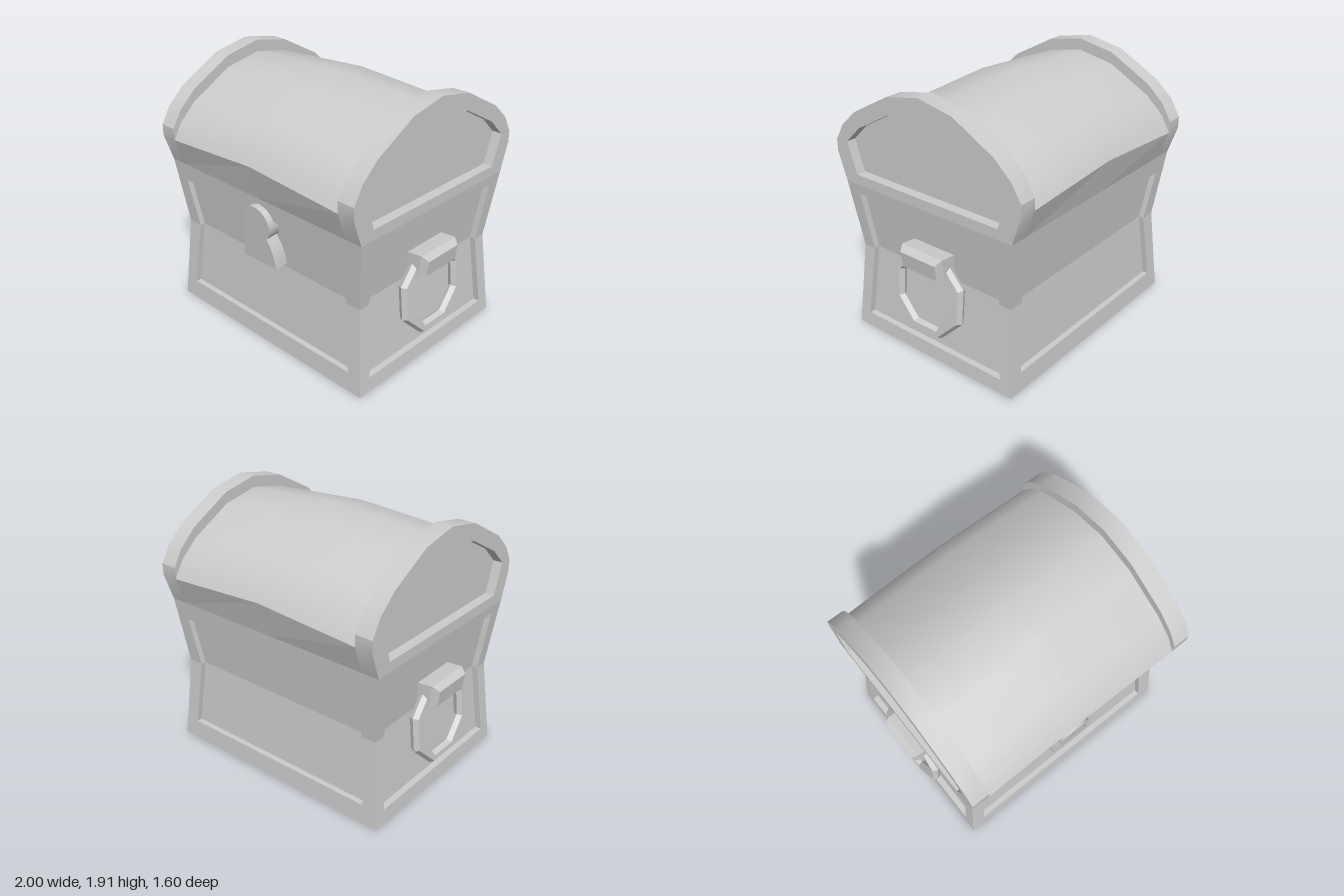
import * as THREE from 'three';
import { toCreasedNormals } from 'three/addons/utils/BufferGeometryUtils.js';
import { ConvexGeometry } from 'three/addons/geometries/ConvexGeometry.js';

const flat = new THREE.MeshStandardMaterial({ color: 0xcccccc, flatShading: true });
const smooth = new THREE.MeshStandardMaterial({ color: 0xcccccc });

// Outline of one lid end: half profile [z, y] from hinge line to ridge
const LID = [[0.73, 1.15], [0.8, 1.355], [0.8, 1.44], [0.73, 1.56], [0.6, 1.68], [0.28, 1.855], [0, 1.91]];
const LID_PANEL = [[0.62, 1.225], [0.665, 1.355], [0.695, 1.45], [0.565, 1.575], [0.275, 1.735], [0, 1.79]];

// Half widths of the pinched body at three heights
const LEVELS = [0, 0.64, 1.15];
const HALF_X = [0.92, 0.86, 0.92];
const HALF_Z = [0.72, 0.67, 0.73];

// Complete a half outline by mirroring it across the centre line
function mirrored(half) {
  const other = half.filter(p => p[0] !== 0).map(([u, y]) => [-u, y]).reverse();
  return [...half, ...other];
}

function toShape(points) {
  return new THREE.Shape(points.map(([u, y]) => new THREE.Vector2(u, y)));
}

function named(name, geometry, material = flat) {
  const mesh = new THREE.Mesh(geometry, material);
  mesh.name = name;
  return mesh;
}

// Surface through rows of points
function gridGeometry(rows) {
  const n = rows[0].length, index = [];
  for (let r = 0; r < rows.length - 1; r++) {
    for (let c = 0; c < n - 1; c++) {
      const a = r * n + c, b = a + n;
      index.push(a, b, b + 1, a, b + 1, a + 1);
    }
  }
  const g = new THREE.BufferGeometry();
  g.setAttribute('position', new THREE.Float32BufferAttribute(rows.flat(2), 3));
  g.setIndex(index);
  g.computeVertexNormals();
  return g;
}

// Bent wall facing +z, with a recessed panel
function wallGeometry(widths, depths, panelHalf, recess) {
  const depthAt = y => {
    const k = y <= LEVELS[1] ? 0 : 1;
    return THREE.MathUtils.mapLinear(y, LEVELS[k], LEVELS[k + 1], depths[k], depths[k + 1]);
  };
  const place = (points, inset) => points.map(([u, y]) => [u, y, depthAt(y) - inset]);
  const outer = place(mirrored(LEVELS.map((y, i) => [widths[i], y])), 0);
  const inner = place(mirrored(panelHalf), 0);
  const floor = place(mirrored(panelHalf), recess);
  const pos = [];
  const quad = (a, b, c, d) => pos.push(...a, ...b, ...c, ...a, ...c, ...d);
  for (let i = 0; i < 6; i++) {
    const j = (i + 1) % 6;
    quad(outer[i], outer[j], inner[j], inner[i]);
    quad(inner[i], inner[j], floor[j], floor[i]);
  }
  for (let i = 0; i < 2; i++) quad(floor[i], floor[i + 1], floor[4 - i], floor[5 - i]);
  const g = new THREE.BufferGeometry();
  g.setAttribute('position', new THREE.Float32BufferAttribute(pos, 3));
  g.computeVertexNormals();
  return g;
}

function createBody() {
  const body = new THREE.Group();
  body.name = 'body';
  const long = wallGeometry(HALF_X, HALF_Z, [[0.8, 0.14], [0.745, 0.64], [0.8, 1.01]], 0.04);
  const short = wallGeometry(HALF_Z, HALF_X, [[0.62, 0.105], [0.575, 0.64], [0.62, 1.08]], 0.045);
  ['frontWall', 'leftWall', 'backWall', 'rightWall'].forEach((name, i) => {
    const wall = named(name, i % 2 ? short : long);
    wall.rotation.y = i * Math.PI / 2;
    body.add(wall);
  });
  const base = named('base', new THREE.PlaneGeometry(1.84, 1.44));
  base.rotation.x = Math.PI / 2;
  body.add(base);
  return body;
}

function createLid() {
  const lid = new THREE.Group();
  lid.name = 'lid';

  // Raised end frames with a sunken panel
  const frameShape = toShape(mirrored(LID));
  frameShape.holes.push(toShape(mirrored(LID_PANEL)));
  const frame = toCreasedNormals(
    new THREE.ExtrudeGeometry(frameShape, { depth: 0.13, bevelEnabled: false }), 0.45);
  const panel = new THREE.ExtrudeGeometry(toShape(mirrored(LID_PANEL)), { depth: 0.06, bevelEnabled: false });
  for (const side of [1, -1]) {
    const end = new THREE.Group();
    end.name = side > 0 ? 'leftLidEnd' : 'rightLidEnd';
    end.add(named('lidEndFrame', frame, smooth), named('lidEndPanel', panel));
    end.rotation.y = side * Math.PI / 2;
    end.position.x = side * 0.79;
    lid.add(end);
  }

  // Barrel top: lower than the ends, swelling towards the middle
  const stations = [[-0.79, 0], [0, 0.05], [0.79, 0]];
  const arch = mirrored(LID.slice(2));
  lid.add(named('lidBarrel', gridGeometry(
    stations.map(([x, lift]) => arch.map(([z, y]) => [x, y - 0.085 + lift, z]))), smooth));

  // Sloping bands under the barrel
  const band = gridGeometry(stations.map(([x, lift]) => [[x, 1.15, 0.73], [x, 1.355 + lift, 0.8]]));
  const frontBand = named('frontBand', band);
  const backBand = named('backBand', band);
  backBand.rotation.y = Math.PI;
  lid.add(frontBand, backBand);
  return lid;
}

// Keyhole-shaped lock plate, leaning with the front wall
function createLockPlate() {
  const s = new THREE.Shape();
  s.moveTo(-0.16, -0.215);
  s.lineTo(0.16, -0.215);
  s.lineTo(0.153, -0.15);
  s.lineTo(0.13, -0.07);
  s.lineTo(0.09, 0.005);
  s.absarc(0, 0.09, 0.13, -0.65, Math.PI + 0.65, false);
  s.lineTo(-0.13, -0.07);
  s.lineTo(-0.153, -0.15);
  s.closePath();
  const g = new THREE.ExtrudeGeometry(s, { depth: 0.12, bevelEnabled: false, curveSegments: 12 });
  const plate = named('lockPlate', toCreasedNormals(g, 0.6), smooth);
  plate.position.set(0, 0.89, 0.633);
  plate.rotation.x = 0.081;
  return plate;
}

function createHandle(side) {
  const handle = new THREE.Group();
  handle.name = side > 0 ? 'leftHandle' : 'rightHandle';

  // Octagonal ring resting against the wall
  const ringGeometry = new THREE.TorusGeometry(0.29, 0.04, 6, 8);
  ringGeometry.rotateZ(Math.PI / 8).rotateY(Math.PI / 2);
  const ring = named('handleRing', ringGeometry);
  ring.position.set(0.905, 0.525, 0);
  ring.rotation.z = 0.09;

  // Chamfered bracket holding the ring
  const corners = [];
  for (const s of [1, -1]) {
    for (const [x, y, z] of [[0.84, 0.85, 0.18], [0.955, 0.86, 0.18], [1, 0.825, 0.155],
      [0.985, 0.71, 0.155], [0.93, 0.69, 0.18], [0.84, 0.7, 0.18]]) {
      corners.push(new THREE.Vector3(x, y, z * s));
    }
  }
  handle.add(ring, named('handleBracket', new ConvexGeometry(corners)));
  if (side < 0) handle.rotation.y = Math.PI;
  return handle;
}

export function createModel() {
  const chest = new THREE.Group();
  chest.name = 'chest';
  chest.add(createBody(), createLid(), createLockPlate(), createHandle(1), createHandle(-1));
  return chest;
}
